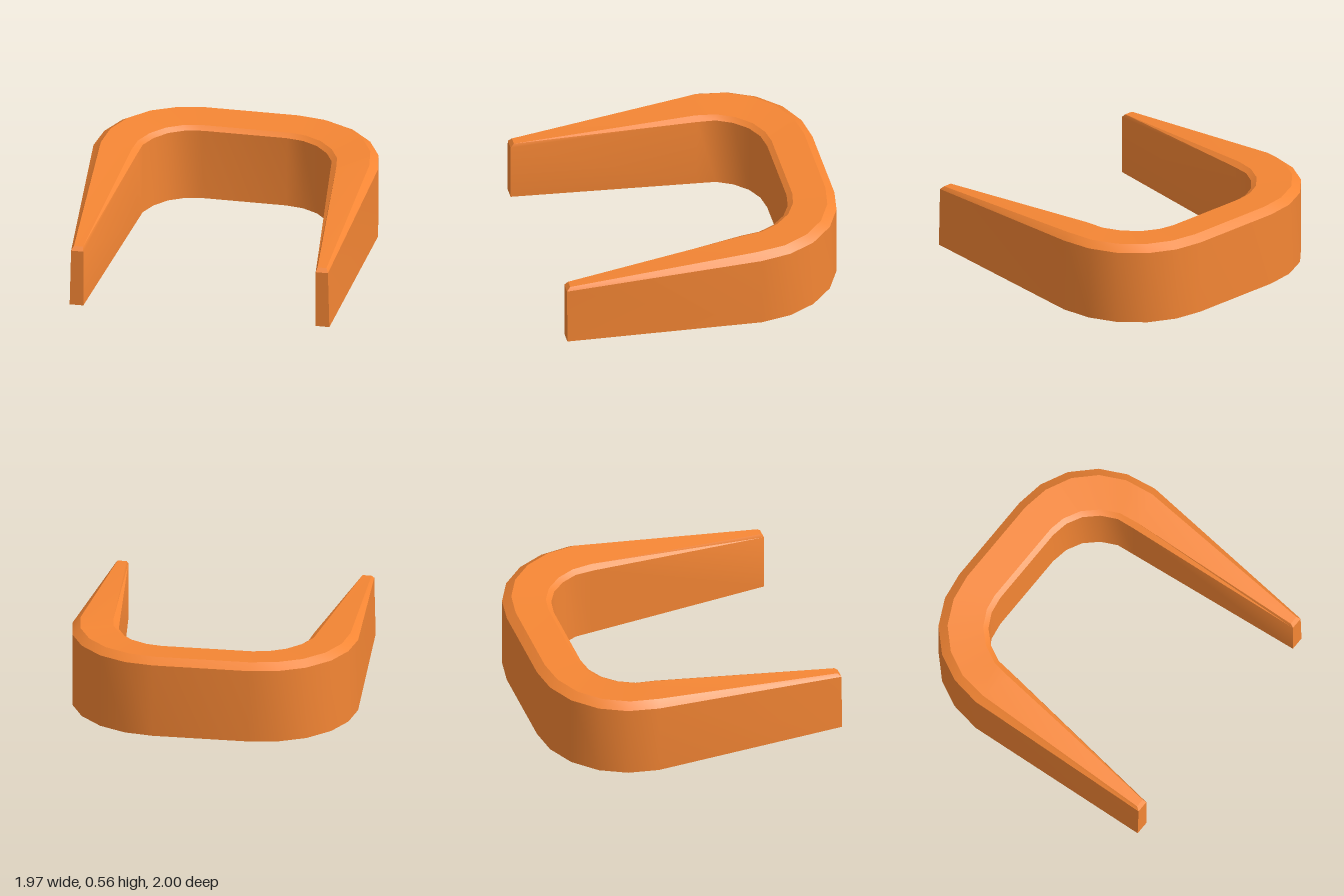
import * as THREE from 'three';
import { toCreasedNormals } from 'three/addons/utils/BufferGeometryUtils.js';

// Cross-sections from the middle of the back to the tip of the left arm.
// Each: outer wall [x, z], outer rim [x, z], inner rim [x, z], inner wall [x, z],
// heights [wall top, outer rim, inner rim]
const STATIONS = [
  [[0.33, -1], [0.32, -0.94], [0.31, -0.71], [0.29, -0.675], [0.52, 0.56, 0.545]],
  [[0.525, -0.97], [0.505, -0.91], [0.42, -0.69], [0.41, -0.655], [0.52, 0.56, 0.545]],
  [[0.71, -0.88], [0.68, -0.825], [0.535, -0.63], [0.515, -0.6], [0.52, 0.56, 0.545]],
  [[0.86, -0.73], [0.815, -0.69], [0.63, -0.53], [0.6, -0.51], [0.52, 0.56, 0.545]],
  [[0.95, -0.55], [0.9, -0.52], [0.69, -0.41], [0.655, -0.4], [0.52, 0.56, 0.545]],
  [[0.985, -0.34], [0.93, -0.32], [0.71, -0.27], [0.669, -0.27], [0.518, 0.558, 0.545]],
  [[0.9, 1], [0.875, 0.975], [0.813, 0.975], [0.805, 1], [0.415, 0.44, 0.44]],
];

// Six corners of a cross-section, from outer bottom over the top to inner bottom
function section([ow, or, ir, iw, [wall, outer, inner]], side, isTip) {
  const p = ([x, z], y) => new THREE.Vector3(side * x, y, z);
  const lean = isTip ? 0.01 : 0;
  return [p(ow, 0), p([ow[0] - lean, ow[1]], wall), p(or, outer), p(ir, inner), p(iw, wall), p(iw, 0)];
}

function arch() {
  const half = (side) => STATIONS.map((s, i) => section(s, side, i === STATIONS.length - 1));
  const rings = [...half(-1).reverse(), ...half(1)];
  const positions = [];
  const quad = (a, b, c, d) => {
    for (const v of [a, b, c, a, c, d]) positions.push(v.x, v.y, v.z);
  };

  // Skin between neighbouring cross-sections, including the underside
  for (let i = 0; i < rings.length - 1; i++) {
    for (let j = 0; j < 6; j++) {
      const k = (j + 1) % 6;
      quad(rings[i][j], rings[i][k], rings[i + 1][k], rings[i + 1][j]);
    }
  }

  // Blunt arm tips: upright end face and the small chamfer above it
  const r = rings[rings.length - 1];
  quad(r[0], r[1], r[4], r[5]);
  quad(r[1], r[2], r[3], r[4]);
  const l = rings[0];
  quad(l[5], l[4], l[1], l[0]);
  quad(l[4], l[3], l[2], l[1]);

  const geometry = new THREE.BufferGeometry();
  geometry.setAttribute('position', new THREE.Float32BufferAttribute(positions, 3));
  return toCreasedNormals(geometry, 0.48);
}

export function createModel() {
  const group = new THREE.Group();
  group.name = 'horseshoeBlock';
  const mesh = new THREE.Mesh(arch(), new THREE.MeshStandardMaterial({ color: 0xf58634 }));
  mesh.name = 'taperedArch';
  group.add(mesh);
  return group;
}
